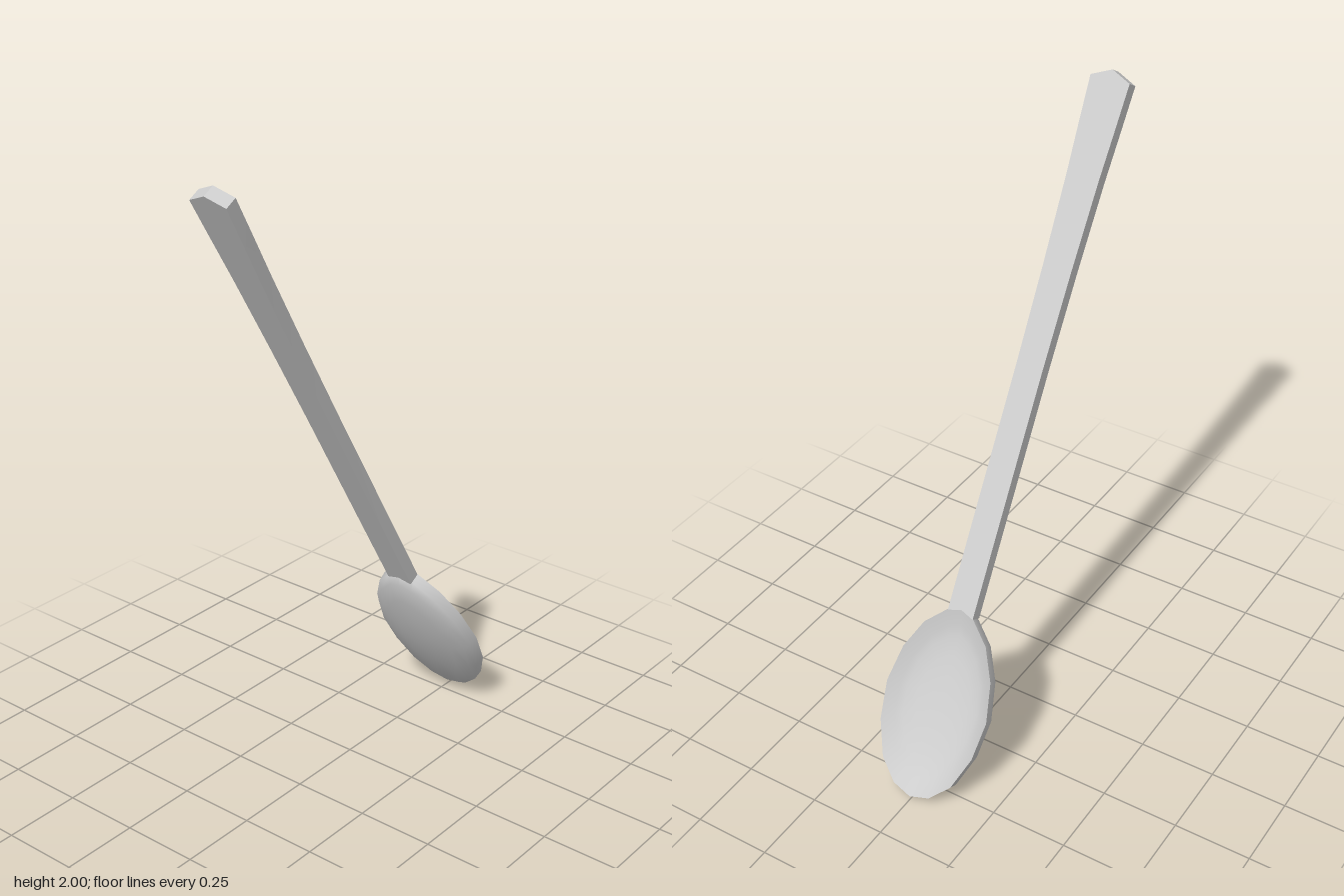
import * as THREE from 'three';
import { toCreasedNormals } from 'three/addons/utils/BufferGeometryUtils.js';

const material = new THREE.MeshStandardMaterial({ color: 0xcccccc });

// Spoon lies along local +x, its upper face at local y = 0.
function makeHandle() {
  // half outline [along, half width], with a pointed end and a flared grip
  const half = [[0.028, 0.065], [0.17, 0.06], [0.32, 0.054], [0.6, 0.048], [0.9, 0.045], [1.69, 0.045]];
  const outline = [[0, 0], ...half, [1.675, 0], ...half.map(([x, z]) => [x, -z]).reverse()];
  const shape = new THREE.Shape(outline.map(([x, z]) => new THREE.Vector2(x, z)));
  const geometry = new THREE.ExtrudeGeometry(shape, { depth: 0.042, bevelEnabled: false });
  geometry.rotateX(Math.PI / 2);
  const mesh = new THREE.Mesh(toCreasedNormals(geometry, 0.4), material);
  mesh.name = 'handle';
  return mesh;
}

function makeBowl() {
  const centre = 1.98;
  // rim from the tip round to the handle, then mirrored
  const half = [[2.292, 0], [2.272, 0.065], [2.21, 0.126], [2.1, 0.169], [1.975, 0.183],
    [1.852, 0.16], [1.753, 0.112], [1.69, 0.048], [1.672, 0]];
  const rim = [...half, ...half.slice(1, -1).reverse().map(([x, z]) => [x, -z])];
  // [scale of rim, height]: hollow, rim, edge wall, underside
  const rings = [[0, -0.052], [0.25, -0.051], [0.5, -0.046], [0.7, -0.036], [0.82, -0.025], [1, 0],
    [0.99, -0.036], [0.9, -0.054], [0.68, -0.072], [0.35, -0.085], [0, -0.09]];
  const positions = [];
  const index = [];
  const n = rim.length;
  rings.forEach(([k, y]) => rim.forEach(([x, z]) => positions.push(centre + (x - centre) * k, y, z * k)));
  for (let i = 0; i < rings.length - 1; i++) {
    for (let j = 0; j < n; j++) {
      const a = i * n + j, d = i * n + (j + 1) % n;
      const b = a + n, c = d + n;
      if (i < rings.length - 2) index.push(a, c, b);
      if (i > 0) index.push(a, d, c);
    }
  }
  const geometry = new THREE.BufferGeometry();
  geometry.setAttribute('position', new THREE.Float32BufferAttribute(positions, 3));
  geometry.setIndex(index);
  const mesh = new THREE.Mesh(toCreasedNormals(geometry, 0.95), material);
  mesh.name = 'bowl';
  return mesh;
}

export function createModel() {
  const spoon = new THREE.Group();
  spoon.name = 'spoon';
  spoon.add(makeHandle(), makeBowl());
  // lean the spoon with its bowl down and to the left
  spoon.rotation.z = Math.atan2(-0.864, 0.503);
  spoon.position.set(-0.56, 2.0, 0);
  const model = new THREE.Group();
  model.add(spoon);
  return model;
}
